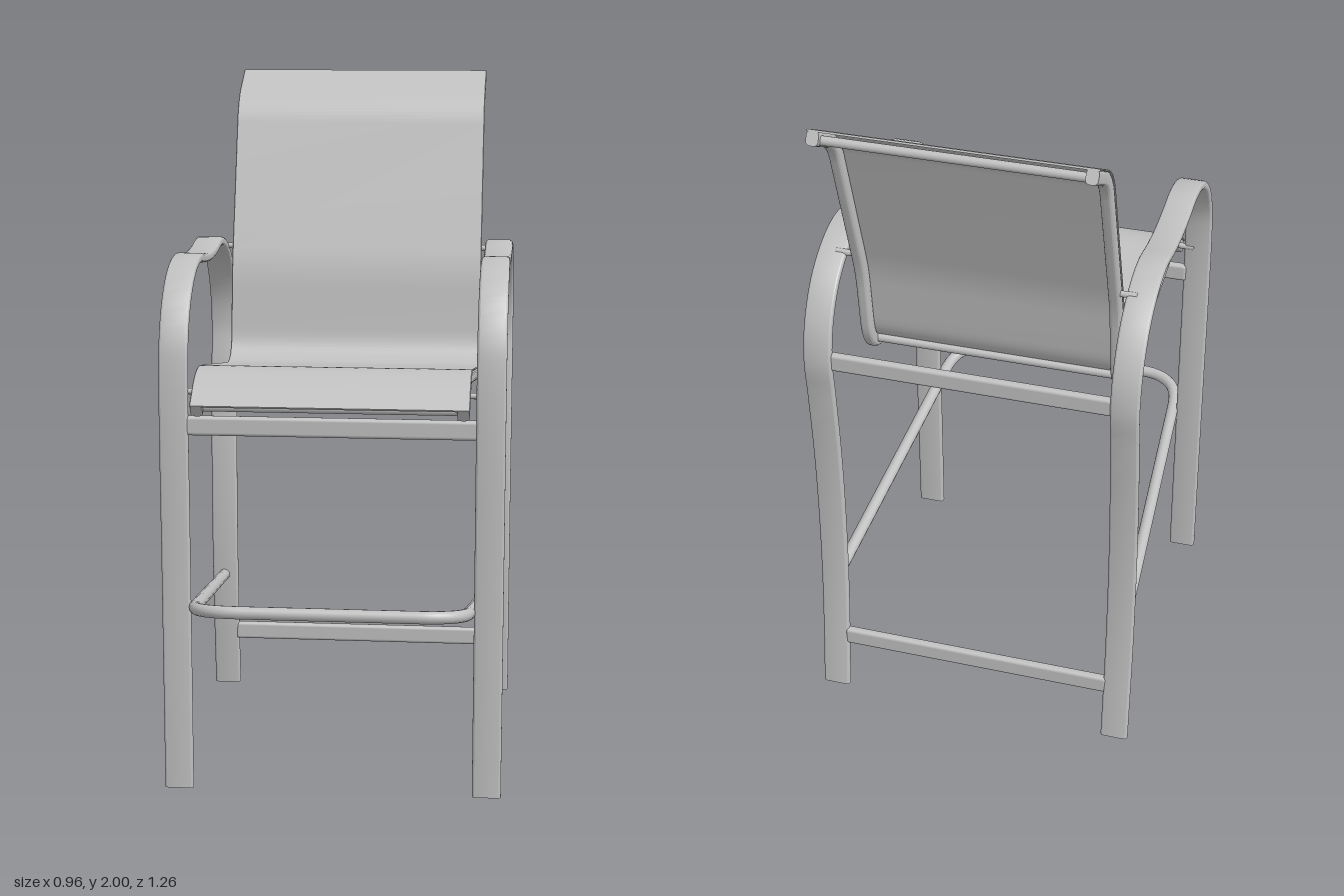
import * as THREE from 'three';
import { toCreasedNormals } from 'three/addons/utils/BufferGeometryUtils.js';
import { RoundedBoxGeometry } from 'three/addons/geometries/RoundedBoxGeometry.js';

const V = (x, y, z) => new THREE.Vector3(x, y, z);

// Polyline with softened corners; trims[i] is how far corner i is cut back
function fillet(points, trims, steps = 10) {
  const out = [points[0]];
  for (let i = 1; i < points.length - 1; i++) {
    const p = points[i];
    const a = p.clone().add(points[i - 1].clone().sub(p).setLength(trims[i - 1]));
    const b = p.clone().add(points[i + 1].clone().sub(p).setLength(trims[i - 1]));
    out.push(...new THREE.QuadraticBezierCurve3(a, p, b).getPoints(steps));
  }
  out.push(points[points.length - 1]);
  return out;
}

// Rounded rectangle cross-section, counter-clockwise
function roundedRect(w, h, r, offset = 0, segs = 4) {
  const ring = [];
  [[1, 1], [-1, 1], [-1, -1], [1, -1]].forEach(([sx, sy], q) => {
    for (let k = 0; k <= segs; k++) {
      const a = (q + k / segs) * Math.PI / 2;
      ring.push([sx * (w / 2 - r) + r * Math.cos(a), offset + sy * (h / 2 - r) + r * Math.sin(a)]);
    }
  });
  return ring;
}

// Sweep a section along a path lying in the side (z, y) plane
function sweep(path, ring, crease = 0.3) {
  const pos = [], idx = [], n = ring.length, last = path.length - 1;
  path.forEach((p, i) => {
    const prev = path[Math.max(i - 1, 0)], next = path[Math.min(i + 1, last)];
    const t = next.clone().sub(prev).normalize();
    for (const [u, v] of ring) pos.push(p.x + u, p.y - t.z * v, p.z + t.y * v);
  });
  for (let i = 0; i < last; i++) {
    for (let j = 0; j < n; j++) {
      const a = i * n + j, b = i * n + (j + 1) % n;
      idx.push(a, a + n, b, b, a + n, b + n);
    }
  }
  for (let j = 1; j < n - 1; j++) {
    idx.push(0, j, j + 1, last * n, last * n + j + 1, last * n + j);
  }
  const g = new THREE.BufferGeometry();
  g.setAttribute('position', new THREE.Float32BufferAttribute(pos, 3));
  g.setIndex(idx);
  return toCreasedNormals(g, crease);
}

export function createModel() {
  const model = new THREE.Group();
  model.name = 'barChair';
  const grey = new THREE.MeshStandardMaterial({ color: 0xc0c0c0 });
  grey.name = 'light grey';
  const add = (name, geometry, x = 0, y = 0, z = 0) => {
    const mesh = new THREE.Mesh(geometry, grey);
    mesh.name = name;
    mesh.position.set(x, y, z);
    model.add(mesh);
    return mesh;
  };

  // Side frames: front leg, armrest and back leg bent from one flat bar
  const archPoints = [
    [0.464, 0], [0.464, 0.6], [0.464, 1.2], [0.443, 1.315], [0.383, 1.412], [0.29, 1.475],
    [0.19, 1.495], [0.1, 1.485], [0, 1.478], [-0.1, 1.483], [-0.22, 1.497], [-0.32, 1.472],
    [-0.412, 1.41], [-0.475, 1.31], [-0.497, 1.2], [-0.485, 1.08], [-0.465, 0.85],
    [-0.458, 0.6], [-0.467, 0.33], [-0.497, 0.003],
  ].map(([z, y]) => V(0, y, z));
  const archPath = new THREE.CatmullRomCurve3(archPoints).getPoints(110);
  const frameGeo = sweep(archPath, roundedRect(0.082, 0.026, 0.01));

  // Sling profile shared by the rails and the fabric
  const slingPath = fillet(
    [[0.528, 1.114], [0.415, 1.2], [-0.275, 1.091], [-0.313, 1.4], [-0.48, 1.9], [-0.625, 1.98]]
      .map(([z, y]) => V(0, y, z)),
    [0.07, 0.13, 0.06, 0.065], 12);
  const railGeo = sweep(slingPath, roundedRect(0.034, 0.04, 0.012));

  // Pins joining the rails to the side frames
  const pinGeo = new THREE.CylinderGeometry(0.009, 0.009, 0.06, 12).rotateZ(Math.PI / 2);

  for (const [side, s] of [['left', 1], ['right', -1]]) {
    add(side + 'LegAndArmFrame', frameGeo, s * 0.441);
    add(side + 'SlingRail', railGeo, s * 0.367);
    add(side + 'BackPin', pinGeo, s * 0.4, 1.47, -0.34);
    add(side + 'FrontPin', pinGeo, s * 0.4, 1.158, 0.46);
  }

  // Fabric stretched over the rails
  add('slingFabric', sweep(slingPath, roundedRect(0.77, 0.006, 0.002, 0.0195, 1)));

  // Thin spreader bars between the rails
  const spreaderGeo = new THREE.CylinderGeometry(0.013, 0.013, 0.72, 14).rotateZ(Math.PI / 2);
  [['front', 1.124, 0.507], ['middle', 1.135, -0.243], ['top', 1.965, -0.603]]
    .forEach(([name, y, z]) => add(name + 'Spreader', spreaderGeo, 0, y, z));

  // Flat cross bars between the legs
  const barGeo = new RoundedBoxGeometry(0.82, 0.055, 0.026, 3, 0.01);
  [['front', 1.062, 0.464], ['backUpper', 1.2, -0.488], ['backLower', 0.185, -0.479]]
    .forEach(([name, y, z]) => add(name + 'CrossBar', barGeo, 0, y, z));

  // U-shaped sloping footrest tube
  const footPoints = fillet(
    [V(0.445, 0.376, -0.462), V(0.377, 0.567, 0.61), V(-0.377, 0.567, 0.61), V(-0.445, 0.376, -0.462)],
    [0.13, 0.13]);
  const footCurve = new THREE.CurvePath();
  for (let i = 1; i < footPoints.length; i++) {
    footCurve.add(new THREE.LineCurve3(footPoints[i - 1], footPoints[i]));
  }
  add('footrest', new THREE.TubeGeometry(footCurve, 140, 0.018, 14));

  return model;
}
